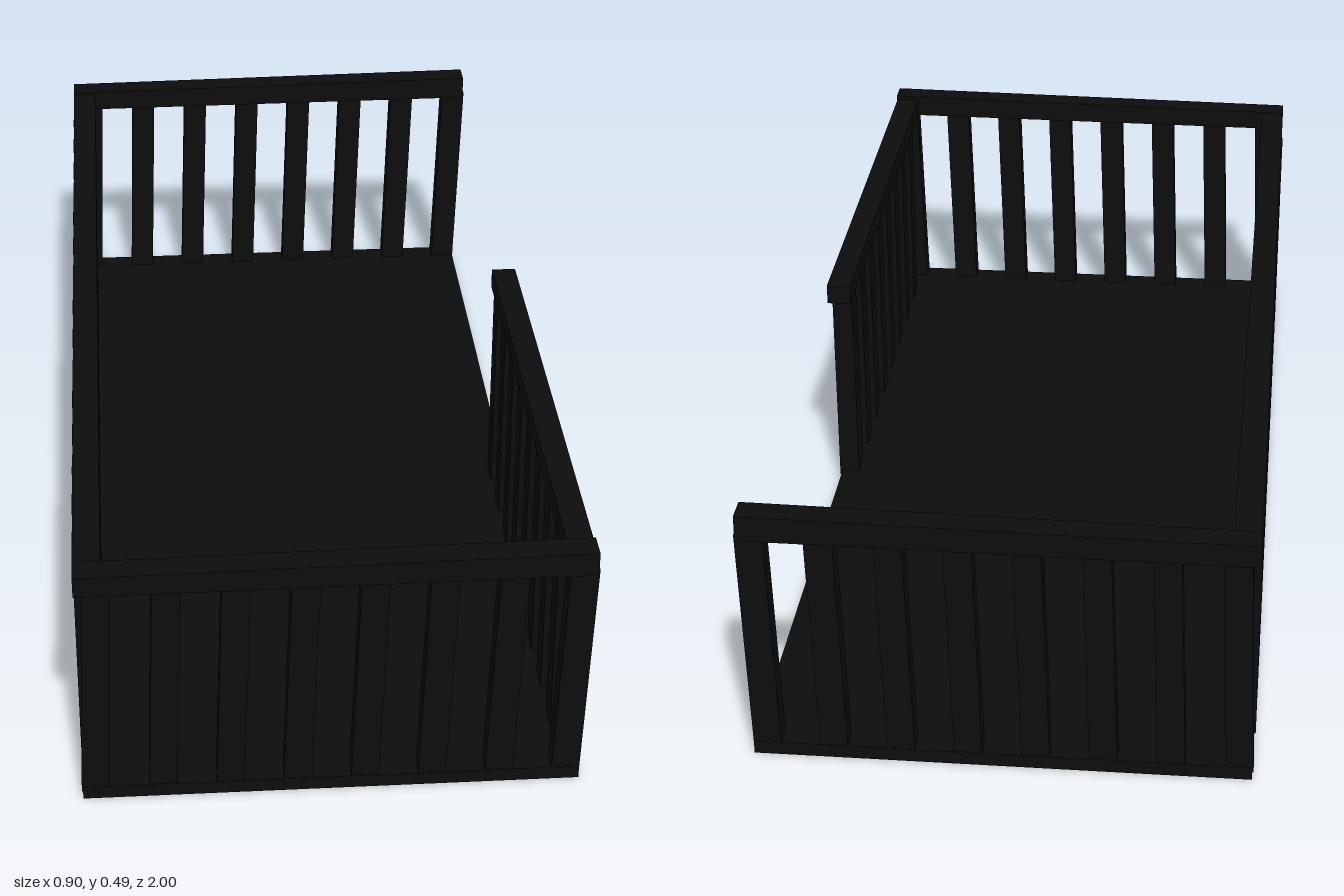
import * as THREE from 'three';

const FLOOR = 0.025, RAIL_Y = 0.438;

export function createModel() {
  const model = new THREE.Group();
  model.name = 'balcony';
  const paint = new THREE.MeshStandardMaterial({ color: 0x0d0d0d });

  // Box between two corners; optional rule moves its vertices
  function block(name, parent, min, max, rule) {
    const size = max.map((v, i) => v - min[i]);
    const geo = new THREE.BoxGeometry(...size);
    geo.translate(...max.map((v, i) => (v + min[i]) / 2));
    if (rule) {
      const p = geo.attributes.position;
      const v = new THREE.Vector3();
      for (let i = 0; i < p.count; i++) {
        rule(v.fromBufferAttribute(p, i));
        p.setXYZ(i, v.x, v.y, v.z);
      }
      geo.computeVertexNormals();
    }
    const mesh = new THREE.Mesh(geo, paint);
    mesh.name = name;
    parent.add(mesh);
  }

  function group(name) {
    const g = new THREE.Group();
    g.name = name;
    model.add(g);
    return g;
  }

  block('floor', model, [-0.447, 0, -0.995], [0.437, FLOOR, 0.995]);

  // Short railings: slats lean toward +x, the top rail rises toward +x
  for (const [name, z, lift] of [['frontRailing', 0.974, 0], ['backRailing', -0.974, 0.003]]) {
    const g = group(name);
    for (let i = 0; i < 8; i++) {
      const x = -0.424 + i * 0.1195;
      block('slat', g, [x - 0.025, FLOOR - 0.01, z - 0.02], [x + 0.025, RAIL_Y + 0.01, z + 0.02],
        v => { v.x += 0.014 * (v.y - FLOOR) / (RAIL_Y - FLOOR); });
    }
    block('topRail', g, [-0.448, RAIL_Y, z - 0.025], [0.449, 0.48 + lift, z + 0.025],
      v => { v.y += v.x * (v.y > 0.46 ? 0.011 : 0.004); });
  }

  // Long railings: slats lean toward -z
  function sideSlats(g, x, zStart, count) {
    for (let i = 0; i < count; i++) {
      const z = zStart - i * 0.1195;
      block('slat', g, [x - 0.02, FLOOR - 0.01, z - 0.026], [x + 0.02, RAIL_Y + 0.01, z + 0.026],
        v => { v.z -= 0.012 * (v.y - FLOOR) / (RAIL_Y - FLOOR); });
    }
  }

  // Full-length railing in two runs with a wider gap between them
  const right = group('rightRailing');
  sideSlats(right, -0.43, 0.852, 8);
  sideSlats(right, -0.43, -0.133, 7);
  block('topRail', right, [-0.448, RAIL_Y, -0.95], [-0.4, 0.474, 0.95]);

  // Half-length railing, leaving the rear of this side open
  const left = group('leftRailing');
  sideSlats(left, 0.422, 0.852, 8);
  block('topRail', left, [0.4, RAIL_Y, -0.05], [0.447, 0.477, 0.95],
    v => { v.y -= (0.95 - v.z) * 0.006; });

  return model;
}
